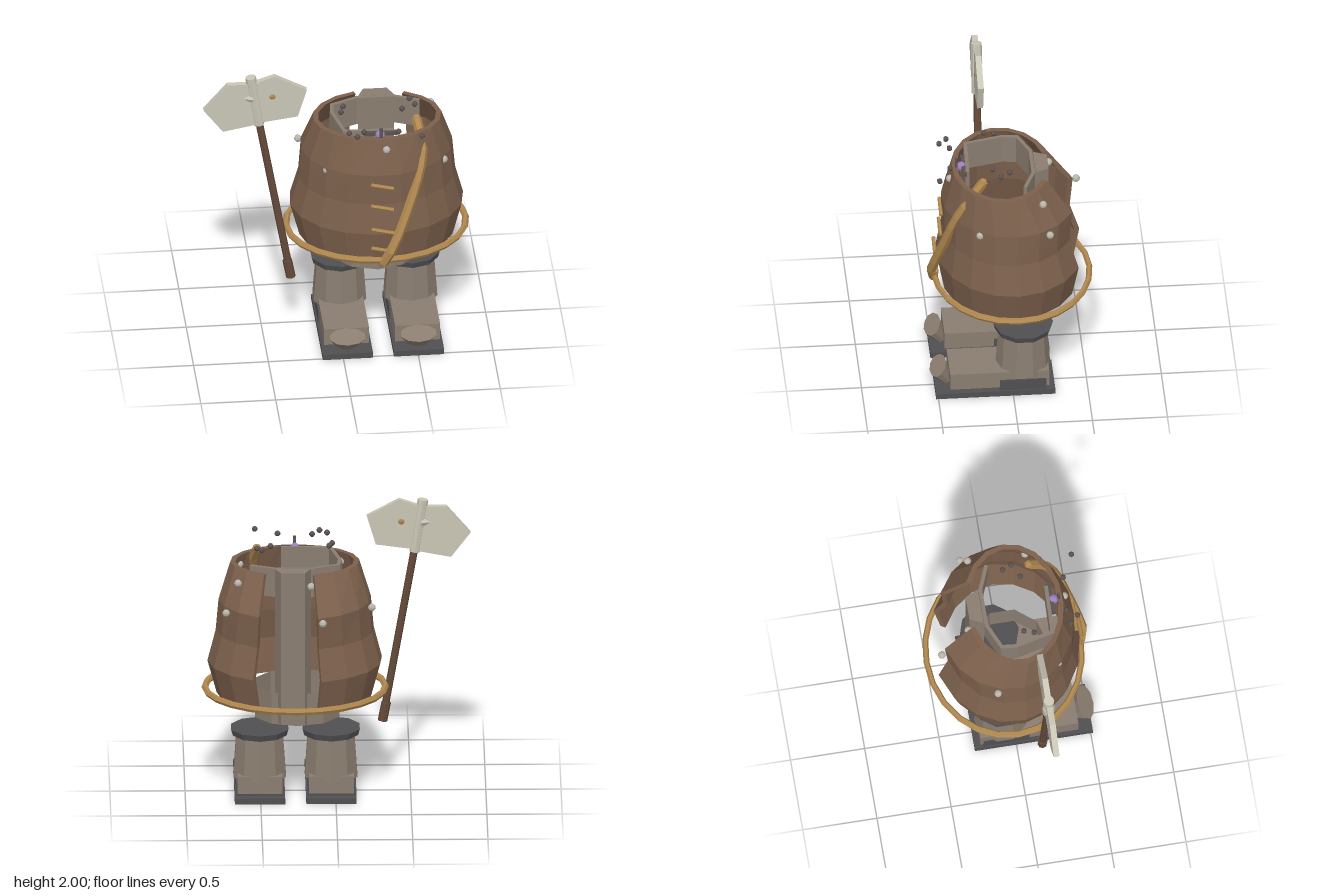
import * as THREE from 'three';

const mat = (name, color, side = THREE.FrontSide) => {
  const m = new THREE.MeshStandardMaterial({ color, flatShading: true, side });
  m.name = name;
  return m;
};

export function createModel() {
  const leather = mat('brown leather', 0x7c604c);
  const cloth = mat('grey brown cloth', 0x8a7d70, THREE.DoubleSide);
  const sole = mat('dark sole', 0x504f52);
  const gold = mat('tan gold', 0xb08850);
  const wood = mat('dark wood', 0x644a3a);
  const blade = mat('pale steel', 0xc9c6b6);
  const rivetMat = mat('rivet steel', 0xb9b6ac);
  const iron = mat('dark iron', 0x5a5250);
  const gemMat = mat('purple gem', 0x9c80c4);

  const model = new THREE.Group();
  const add = (name, geo, material, pos = [0, 0, 0], parent = model) => {
    const m = new THREE.Mesh(geo, material);
    m.name = name;
    m.position.set(...pos);
    parent.add(m);
    return m;
  };
  const box = (w, h, d) => new THREE.BoxGeometry(w, h, d);
  // Cylinder between two points
  const rod = (name, a, b, r0, r1, sides, material) => {
    const p = new THREE.Vector3(...a), q = new THREE.Vector3(...b);
    const dir = q.clone().sub(p);
    const m = add(name, new THREE.CylinderGeometry(r1, r0, dir.length(), sides), material);
    m.position.copy(p).add(q).multiplyScalar(0.5);
    m.quaternion.setFromUnitVectors(new THREE.Vector3(0, 1, 0), dir.normalize());
    return m;
  };

  // Barrel-shaped body shell, open at the back: [y, centre z, rx, rz]
  const rows = [[0.7, -0.005, 0.52, 0.455], [0.93, -0.01, 0.582, 0.497], [1.14, 0.005, 0.527, 0.445],
    [1.36, -0.005, 0.508, 0.455], [1.6, 0.05, 0.43, 0.33]];
  const loop = [...rows.map(r => [...r, 0]), ...rows.slice().reverse().map(r => [...r, 0.035])];
  const n = loop.length, segs = 16;
  const t0 = THREE.MathUtils.degToRad(-163), t1 = THREE.MathUtils.degToRad(151);
  const pos = [], idx = [];
  for (let s = 0; s <= segs; s++) {
    const t = t0 + (t1 - t0) * s / segs;
    for (const [y, cz, rx, rz, inset] of loop)
      pos.push(0.27 + (rx - inset) * Math.sin(t), y, cz + (rz - inset) * Math.cos(t));
  }
  const quad = (a, b, c, d) => idx.push(a, b, c, a, c, d);
  for (let s = 0; s < segs; s++)
    for (let i = 0; i < n; i++) {
      const j = (i + 1) % n;
      quad(s * n + i, (s + 1) * n + i, (s + 1) * n + j, s * n + j);
    }
  for (let i = 0; i < rows.length - 1; i++) {
    const o = segs * n, k = n - 1 - i;
    quad(k, i, i + 1, k - 1);
    quad(o + i, o + k, o + k - 1, o + i + 1);
  }
  const shell = new THREE.BufferGeometry();
  shell.setAttribute('position', new THREE.Float32BufferAttribute(pos, 3));
  shell.setIndex(idx);
  shell.computeVertexNormals();
  add('bodyShell', shell, leather);

  // Waist tube under the shell
  const waist = new THREE.CylinderGeometry(0.295, 0.295, 0.22, 10, 1, true);
  waist.scale(1, 1, 0.9);
  add('waist', waist, cloth, [0.255, 0.65, 0.015]);

  // Inner collar, a run of flat panels
  const collar = [[0.56, -0.09], [0.4, -0.155], [0.15, -0.155], [-0.02, -0.08], [-0.03, 0.02], [0.03, 0.27], [0.35, 0.28]];
  for (let i = 0; i < collar.length - 1; i++) {
    const [ax, az] = collar[i], [bx, bz] = collar[i + 1];
    const p = add('collarPanel', box(Math.hypot(bx - ax, bz - az) + 0.015, 0.2, 0.025), cloth,
      [(ax + bx) / 2, 1.52, (az + bz) / 2]);
    p.rotation.y = -Math.atan2(bz - az, bx - ax);
  }

  // Back spine strip
  const trap = new THREE.Shape([[-0.12, 0.17], [0.12, 0.17], [0.08, 0.26], [-0.08, 0.26]].map(p => new THREE.Vector2(...p)));
  const spine = new THREE.ExtrudeGeometry(trap, { depth: 1.07, bevelEnabled: false });
  spine.rotateX(-Math.PI / 2);
  add('backSpine', spine, cloth, [0.285, 0.55, 0]);

  // Hoop round the lower body
  const hoop = new THREE.TorusGeometry(0.6, 0.023, 6, 24);
  hoop.rotateX(Math.PI / 2);
  hoop.scale(1, 1, 0.865);
  add('hoop', hoop, gold, [0.268, 0.74, -0.02]);

  // Diagonal strap
  const strap = new THREE.CatmullRomCurve3([[0.52, 1.64, 0.19], [0.55, 1.48, 0.31], [0.52, 1.33, 0.38],
    [0.45, 1.12, 0.44], [0.36, 0.9, 0.5], [0.31, 0.8, 0.52], [0.27, 0.72, 0.5]].map(p => new THREE.Vector3(...p)));
  add('strap', new THREE.TubeGeometry(strap, 10, 0.033, 6), gold);
  for (const e of [0, 1]) {
    const cap = add('strapEnd', new THREE.SphereGeometry(0.031, 6, 4), gold);
    cap.position.copy(strap.getPoint(e));
  }

  // Stitches on the front
  for (const [y, z] of [[1.28, 0.455], [1.12, 0.46], [0.96, 0.495], [0.81, 0.485]])
    rod('stitch', [0.19, y + 0.018, z], [0.34, y - 0.018, z], 0.013, 0.013, 6, gold);

  // Rivets
  for (const p of [[-0.09, 1.335, 0.29], [0.7, 1.335, 0.225], [-0.24, 1.335, -0.14], [0.73, 1.335, -0.24], [0.09, 1.335, -0.465],
    [-0.045, 1.53, 0.25], [0.635, 1.53, 0.185], [0.65, 1.53, -0.2], [0.165, 1.53, -0.275], [0.3, 1.53, 0.395]])
    add('rivet', new THREE.SphereGeometry(0.026, 8, 6), rivetMat, p);

  // Small beads above the rim
  for (const [x, y, z] of [[0.02, 1.69, 0.145], [0.04, 1.695, 0.08], [0.05, 1.675, 0.4], [0.1, 1.675, 0.45], [0.15, 1.67, 0.385],
    [0.38, 1.67, 0.4], [0.43, 1.68, 0.12], [0.49, 1.69, 0.01], [0.52, 1.68, 0.07], [0.53, 1.675, 0.48]])
    add('bead', new THREE.SphereGeometry(0.02, 6, 5), iron, [x, y, z]);

  // Clasp with gem
  add('claspPin', box(0.02, 0.16, 0.015), iron, [0.268, 1.59, 0.35]);
  add('claspBar', box(0.22, 0.025, 0.03), iron, [0.27, 1.605, 0.3]);
  add('claspGem', new THREE.SphereGeometry(0.033, 8, 6), gemMat, [0.265, 1.6, 0.315]);

  // Boots
  for (const x of [0.03, 0.505]) {
    const boot = new THREE.Group();
    boot.name = 'boot';
    boot.position.x = x;
    model.add(boot);
    add('sole', box(0.335, 0.04, 0.795), sole, [0, 0.02, 0.118], boot);
    add('heel', box(0.315, 0.08, 0.31), sole, [0, 0.08, -0.065], boot);
    add('foot', box(0.3, 0.12, 0.66), cloth, [0, 0.12, 0.09], boot);
    const toeGeo = new THREE.CylinderGeometry(0.065, 0.04, 0.11, 10);
    toeGeo.scale(1.9, 1, 1);
    add('toeCap', toeGeo, cloth, [0, 0.11, 0.462], boot).rotation.x = 0.57;
    add('shaft', new THREE.CylinderGeometry(0.162, 0.184, 0.3, 10), cloth, [0, 0.29, -0.075], boot);
    add('cuff', new THREE.CylinderGeometry(0.2, 0.188, 0.042, 10), sole, [0, 0.456, -0.078], boot);
  }

  // Axe: handle, grip, socket, spike, blades, stud
  const z = 0.145;
  rod('axeHandle', [-0.325, 0.5, z], [-0.53, 1.66, z], 0.025, 0.025, 8, wood);
  rod('axeGrip', [-0.315, 0.44, z], [-0.34, 0.57, z], 0.032, 0.032, 8, wood);
  rod('axeSocket', [-0.528, 1.63, z], [-0.584, 1.995, z], 0.036, 0.036, 8, blade);
  rod('axeSpike', [-0.57, 1.84, z], [-0.69, 1.84, z], 0.042, 0.002, 6, blade);
  const plates = [
    [[-0.9, 1.765], [-0.77, 1.595], [-0.535, 1.64], [-0.58, 1.95], [-0.74, 1.95]],
    [[-0.53, 1.65], [-0.27, 1.685], [-0.21, 1.885], [-0.426, 2.0], [-0.575, 1.95]],
  ];
  for (const pts of plates) {
    const s = new THREE.Shape(pts.map(p => new THREE.Vector2(...p)));
    add('axeBlade', new THREE.ExtrudeGeometry(s, { depth: 0.04, bevelEnabled: false }), blade, [0, 0, z - 0.02]);
  }
  add('axeStud', new THREE.SphereGeometry(0.03, 8, 6), gold, [-0.44, 1.845, z]);

  return model;
}
